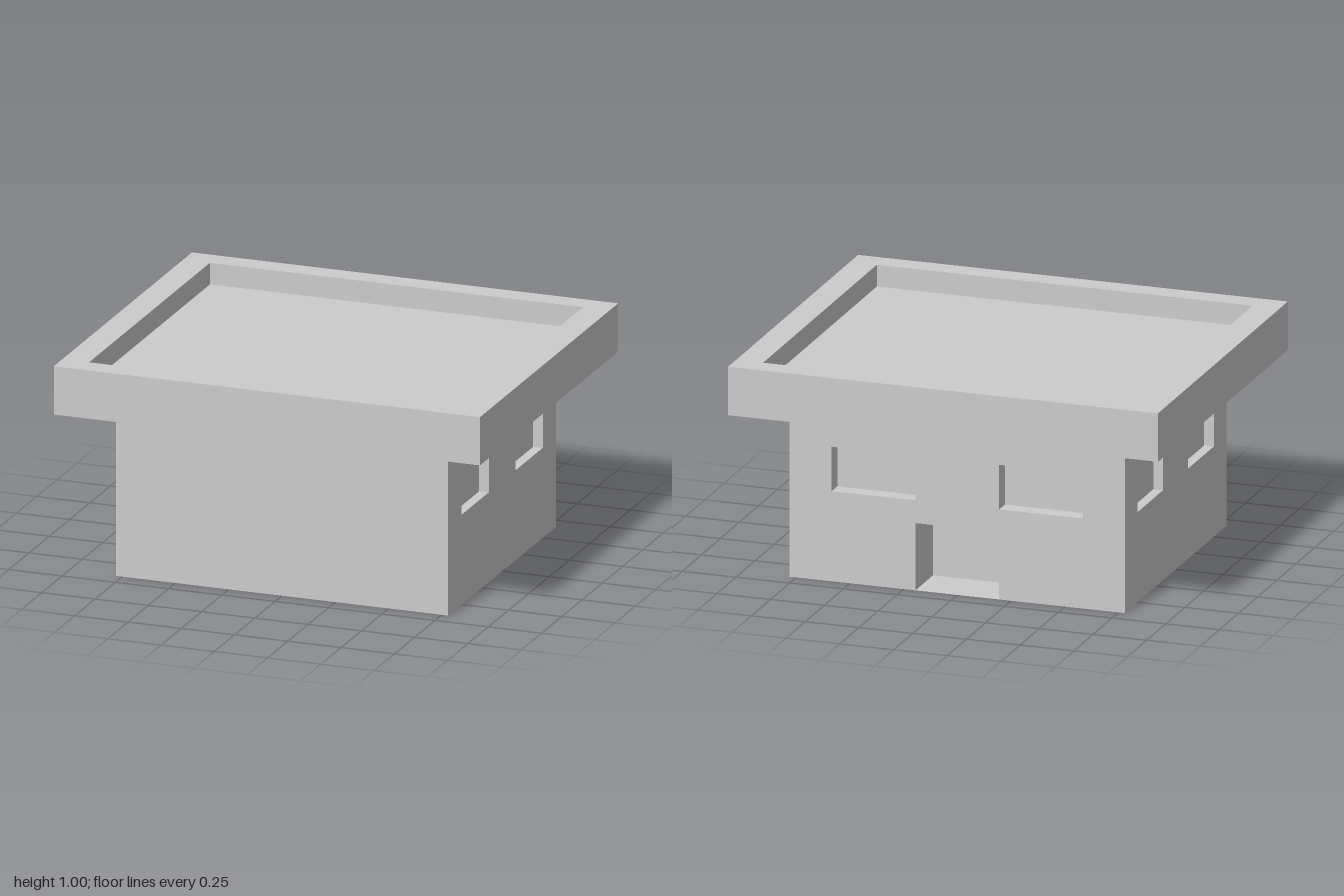
import * as THREE from 'three';

const HX = 0.78, HZ = 0.665, WALL_TOP = 0.82;
const material = new THREE.MeshStandardMaterial({ color: 0xcccccc, flatShading: true });

function addMesh(parent, name, geometry) {
  const mesh = new THREE.Mesh(geometry, material);
  mesh.name = name;
  parent.add(mesh);
  return mesh;
}

const rectPoints = (x0, x1, y0, y1) => [[x0, y0], [x1, y0], [x1, y1], [x0, y1]].map(p => new THREE.Vector2(...p));

// Box seen from the inside, open towards +z, with its mouth at z = 0
function recessGeometry({ x0, x1, y0, y1, depth }) {
  const g = new THREE.BoxGeometry(x1 - x0, y1 - y0, depth);
  const index = Array.from(g.index.array);
  index.splice(24, 6);
  g.setIndex(index.reverse());
  g.translate((x0 + x1) / 2, (y0 + y1) / 2, -depth / 2);
  g.computeVertexNormals();
  return g;
}

// Wall facing its own +z, pierced by windows and an optional door notch
function makeWall(name, halfWidth, windows = [], door = null) {
  const wall = new THREE.Group();
  wall.name = name;
  const outline = rectPoints(-halfWidth, halfWidth, 0, WALL_TOP);
  if (door) {
    const { x0, x1, y1 } = door;
    const notch = [[x0, 0], [x0, y1], [x1, y1], [x1, 0]].map(p => new THREE.Vector2(...p));
    outline.splice(1, 0, ...notch);
    addMesh(wall, 'doorway', recessGeometry(door));
  }
  const shape = new THREE.Shape(outline);
  for (const w of windows) {
    shape.holes.push(new THREE.Path(rectPoints(w.x0, w.x1, w.y0, w.y1)));
    addMesh(wall, 'windowRecess', recessGeometry(w));
  }
  addMesh(wall, 'wallFace', new THREE.ShapeGeometry(shape));
  return wall;
}

// Mirrored pair of window openings
function windowPair(inner, outer, depth) {
  const y0 = 0.415, y1 = 0.62;
  return [{ x0: inner, x1: outer, y0, y1, depth }, { x0: -outer, x1: -inner, y0, y1, depth }];
}

// Joins rectangular rings [halfX, halfZ, y] with flat bands and caps the last one
function ringLoft(rings) {
  const corners = rings.map(([x, z, y]) => [[x, y, z], [x, y, -z], [-x, y, -z], [-x, y, z]]);
  const positions = [];
  const quad = (a, b, c, d) => positions.push(...a, ...b, ...c, ...a, ...c, ...d);
  for (let r = 0; r < rings.length - 1; r++) {
    for (let i = 0; i < 4; i++) {
      const j = (i + 1) % 4;
      quad(corners[r][i], corners[r][j], corners[r + 1][j], corners[r + 1][i]);
    }
  }
  quad(...corners[corners.length - 1]);
  const g = new THREE.BufferGeometry();
  g.setAttribute('position', new THREE.Float32BufferAttribute(positions, 3));
  g.computeVertexNormals();
  return g;
}

export function createModel() {
  const model = new THREE.Group();
  model.name = 'flatRoofHouse';

  // Plain front wall
  const front = makeWall('frontWall', HX);
  front.position.z = HZ;
  model.add(front);

  // Back wall with two windows and a deep doorway
  const door = { x0: -0.195, x1: 0.195, y0: 0, y1: 0.31, depth: 0.23 };
  const back = makeWall('backWall', HX, windowPair(0.195, 0.585, 0.075), door);
  back.rotation.y = Math.PI;
  back.position.z = -HZ;
  model.add(back);

  // Side walls with two shallow windows each
  for (const [name, side] of [['leftWall', 1], ['rightWall', -1]]) {
    const wall = makeWall(name, HZ, windowPair(0.165, 0.5, 0.045));
    wall.rotation.y = side * Math.PI / 2;
    wall.position.x = side * HX;
    model.add(wall);
  }

  // Underside of the house
  addMesh(model, 'base', new THREE.PlaneGeometry(2 * HX, 2 * HZ).rotateX(Math.PI / 2));

  // Roof: sloping soffit, fascia, parapet rim and sunken deck
  addMesh(model, 'roof', ringLoft([
    [HX, HZ, WALL_TOP],
    [1, 0.852, 0.777],
    [1, 0.852, 1],
    [0.875, 0.745, 1],
    [0.875, 0.745, 0.9],
  ]));

  return model;
}
